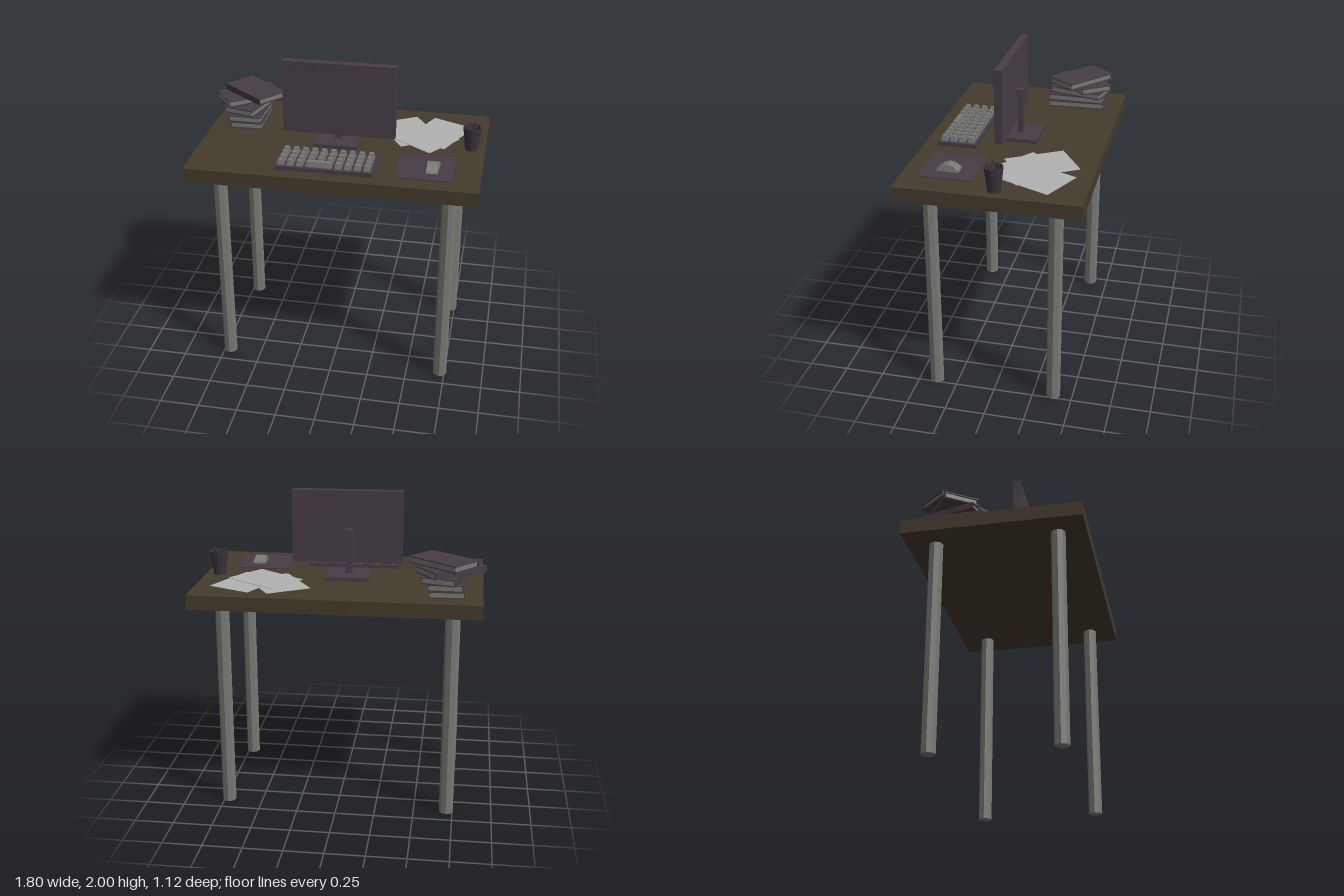
import * as THREE from 'three';

const mat = (name, color, extra = {}) => {
  const m = new THREE.MeshStandardMaterial({ color, flatShading: true, ...extra });
  m.name = name;
  return m;
};

export function createModel() {
  const root = new THREE.Group();
  root.name = 'computerDesk';
  const wood = mat('darkWood', 0x443b2c);
  const dark = mat('darkPlastic', 0x463d46);
  const grey = mat('grey', 0x787875);
  const paper = mat('paper', 0xb2b2b2);
  const cupMat = mat('cupPlastic', 0x3a343d, { side: THREE.DoubleSide });
  const TOP = 1.45; // desk surface height

  const add = (name, geo, material, x = 0, y = 0, z = 0, parent = root) => {
    const m = new THREE.Mesh(geo, material);
    m.name = name;
    m.position.set(x, y, z);
    parent.add(m);
    return m;
  };
  // box given by its minimum and maximum corners
  const box = (name, material, [x0, x1], [y0, y1], [z0, z1], parent = root) =>
    add(name, new THREE.BoxGeometry(x1 - x0, y1 - y0, z1 - z0), material,
      (x0 + x1) / 2, (y0 + y1) / 2, (z0 + z1) / 2, parent);
  const group = (name, x = 0, y = 0, z = 0, ry = 0) => {
    const g = new THREE.Group();
    g.name = name;
    g.position.set(x, y, z);
    g.rotation.y = ry;
    root.add(g);
    return g;
  };

  // Desk
  box('deskTop', wood, [-0.89, 0.9], [1.36, TOP], [-0.56, 0.56]);
  const legGeo = new THREE.CylinderGeometry(0.045, 0.045, 1.36, 8);
  for (const x of [-0.71, 0.72])
    for (const z of [-0.38, 0.385]) add('leg', legGeo, grey, x, 0.68, z);

  // Monitor and stand
  const monitor = group('monitor');
  box('monitorCase', dark, [-0.37, 0.342], [1.53, 2], [0.033, 0.083], monitor);
  box('screen', dark, [-0.347, 0.32], [1.543, 1.983], [0.083, 0.086], monitor);
  box('standBase', dark, [-0.17, 0.11], [TOP, 1.474], [-0.13, 0.123], monitor);
  box('standPost', dark, [-0.05, -0.01], [1.474, 1.755], [-0.015, 0.018], monitor);
  box('standArm', dark, [-0.05, -0.01], [1.715, 1.755], [0.018, 0.033], monitor);

  // Keyboard with tapered keys
  const keyboard = group('keyboard');
  box('keyboardBase', dark, [-0.338, 0.264], [TOP, 1.475], [0.22, 0.47], keyboard);
  const keyGeo = (w) => {
    const g = new THREE.BoxGeometry(w, 0.034, 0.04);
    const p = g.attributes.position;
    for (let i = 0; i < p.count; i++)
      if (p.getY(i) > 0) {
        p.setX(i, p.getX(i) - Math.sign(p.getX(i)) * 0.006);
        p.setZ(i, p.getZ(i) * 0.7);
      }
    return g;
  };
  const key = keyGeo(0.04);
  for (let row = 0; row < 4; row++)
    for (let col = 0; col < 10; col++) {
      if (row === 3 && col > 2 && col < 6) continue;
      add('key', key, grey, -0.305 + col * 0.0588, 1.492, 0.26 + row * 0.057, keyboard);
    }
  add('spaceBar', keyGeo(0.157), grey, -0.07, 1.492, 0.431, keyboard);

  // Mouse pad, and a mouse extruded from its side profile
  box('mousePad', dark, [0.39, 0.732], [TOP, 1.456], [0.115, 0.45]);
  const side = new THREE.Shape([
    [-0.07, 0], [0.07, 0], [0.062, 0.012], [0.03, 0.033], [-0.005, 0.044], [-0.04, 0.032], [-0.066, 0.012],
  ].map(([z, y]) => new THREE.Vector2(z, y)));
  const mouseGeo = new THREE.ExtrudeGeometry(side, { depth: 0.084, bevelEnabled: false });
  mouseGeo.translate(0, 0, -0.042).rotateY(-Math.PI / 2);
  const mp = mouseGeo.attributes.position;
  for (let i = 0; i < mp.count; i++)
    mp.setX(i, mp.getX(i) * (0.92 - mp.getZ(i) * 1.2) * (1 - mp.getY(i) * 3.5));
  add('mouse', mouseGeo, grey, 0.604, 1.456, 0.297);

  // Loose sheets: x, z, turn
  [[0.396, -0.225, 0.546], [0.592, -0.227, -0.426], [0.488, -0.143, 0.948]].forEach(([x, z, ry], i) => {
    add('paperSheet', new THREE.BoxGeometry(0.29, 0.002, 0.385), paper, x, TOP + 0.001 + i * 0.002, z)
      .rotation.y = ry;
  });

  // Stack of books, spine on local -x: x, z, turn
  const W = 0.1085, L = 0.186, H = 0.042, C = 0.006;
  [
    [-0.665, -0.257, 0.03],
    [-0.665, -0.257, -0.03],
    [-0.665, -0.275, -0.267],
    [-0.688, -0.297, -0.945],
    [-0.642, -0.28, 0.896],
  ].forEach(([x, z, ry], i) => {
    const book = group('book', x, TOP + i * H, z, ry);
    box('lowerCover', dark, [-W, W], [0, C], [-L, L], book);
    box('upperCover', dark, [-W, W], [H - C, H], [-L, L], book);
    box('spine', dark, [-W, -W + C], [C, H - C], [-L, L], book);
    box('pages', grey, [-W + C, W - 0.01], [C, H - C], [-L + 0.01, L - 0.01], book);
  });

  // Hollow pencil cup with leaning pens
  const cup = group('pencilCup', 0.812, TOP, -0.033);
  const profile = [[0, 0], [0.04, 0], [0.058, 0.152], [0.05, 0.152], [0.035, 0.01], [0, 0.01]]
    .map(([r, y]) => new THREE.Vector2(r, y));
  add('cup', new THREE.LatheGeometry(profile, 12), cupMat, 0, 0, 0, cup);
  const up = new THREE.Vector3(0, 1, 0);
  for (const [x0, z0, x1, z1, top] of [
    [0.022, 0.012, -0.04, 0.012, 0.168],
    [0.005, 0.02, 0.018, -0.035, 0.174],
    [-0.015, -0.01, 0.033, 0.022, 0.165],
  ]) {
    const a = new THREE.Vector3(x0, 0.015, z0), b = new THREE.Vector3(x1, top, z1);
    const dir = b.clone().sub(a), mid = a.clone().add(b).multiplyScalar(0.5);
    add('pen', new THREE.CylinderGeometry(0.007, 0.007, dir.length(), 6), cupMat, mid.x, mid.y, mid.z, cup)
      .quaternion.setFromUnitVectors(up, dir.normalize());
  }
  return root;
}
